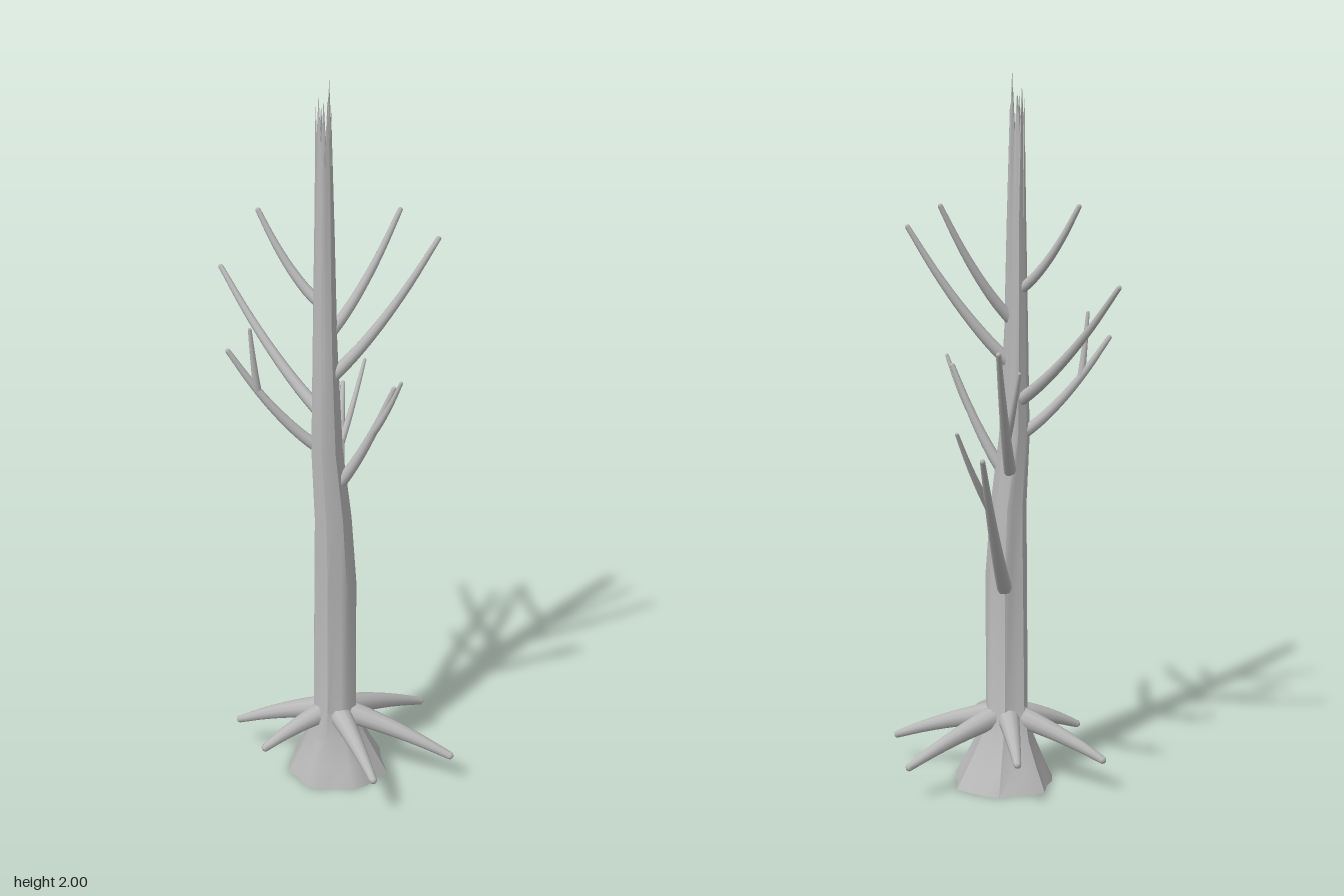
import * as THREE from 'three';
import { mergeVertices, toCreasedNormals } from 'three/addons/utils/BufferGeometryUtils.js';

const bark = new THREE.MeshStandardMaterial({ color: 0xb8b8b8, side: THREE.DoubleSide });
bark.name = 'grey bark';

// Round limb along a path, tapering from r0 to r1 with a rounded tip
function limb(name, path, r0, r1) {
  const n = 14, sides = 10;
  const geo = new THREE.TubeGeometry(path, n, 1, sides, false);
  const pos = geo.attributes.position, v = new THREE.Vector3();
  for (let i = 0; i <= n; i++) {
    const centre = path.getPointAt(i / n);
    const r = r0 + (r1 - r0) * i / n;
    for (let j = 0; j <= sides; j++) {
      const k = i * (sides + 1) + j;
      v.fromBufferAttribute(pos, k).sub(centre).multiplyScalar(r).add(centre);
      pos.setXYZ(k, v.x, v.y, v.z);
    }
  }
  geo.deleteAttribute('uv');
  geo.deleteAttribute('normal');
  const smooth = mergeVertices(geo, 1e-5);
  smooth.computeVertexNormals();
  const mesh = new THREE.Mesh(smooth, bark);
  mesh.name = name;
  const tip = new THREE.Mesh(new THREE.SphereGeometry(r1, 8, 6), bark);
  tip.name = name + 'Tip';
  tip.position.copy(path.getPointAt(1));
  mesh.add(tip);
  return mesh;
}

// Path that sags in the middle, so the limb sweeps upward to its tip
function sweep(base, tip, sag) {
  const at = t => base.clone().lerp(tip, t).setY(base.y + (tip.y - base.y) * t - 4 * sag * t * (1 - t));
  return new THREE.CatmullRomCurve3([0, 0.25, 0.5, 0.75, 1].map(at));
}

// Trunk rings: height, centre x, centre z, radius
const rings = [
  [0, -0.04, 0.04, 0.142],
  [0.06, -0.044, 0.042, 0.112],
  [0.13, -0.05, 0.045, 0.08],
  [0.21, -0.056, 0.048, 0.06],
  [0.6, -0.056, 0.05, 0.057],
  [0.8, -0.063, 0.05, 0.048],
  [1, -0.079, 0.045, 0.04],
  [1.3, -0.082, 0.042, 0.031],
  [1.6, -0.081, 0.04, 0.026],
  [1.86, -0.087, 0.047, 0.02],
];

// Point on the trunk axis at a given height
function axisAt(y) {
  const i = rings.findIndex(r => r[0] > y);
  const [a, b] = [rings[i - 1], rings[i]];
  const t = (y - a[0]) / (b[0] - a[0]);
  return new THREE.Vector3(a[1] + (b[1] - a[1]) * t, y, a[2] + (b[2] - a[2]) * t);
}

// Ridged trunk with a flared foot and a jagged broken rim
function trunk() {
  const sides = 20, verts = [], index = [];
  rings.forEach(([y, cx, cz, r], i) => {
    const last = i === rings.length - 1;
    for (let j = 0; j < sides; j++) {
      const a = j / sides * Math.PI * 2;
      const ridge = Math.cos(7 * a + y * 1.5) * 0.065 + Math.cos(4 * a + 1 + y * 3) * 0.035;
      const rr = r * (1 + ridge);
      const jag = last ? (j % 2 ? 0.05 + (j % 5) * 0.012 : -0.03) : 0;
      verts.push(cx + Math.cos(a) * rr, y + jag, cz + Math.sin(a) * rr);
      if (!last) {
        const k = (j + 1) % sides, lo = i * sides, hi = lo + sides;
        index.push(lo + j, hi + j, lo + k, lo + k, hi + j, hi + k);
      }
    }
  });
  const geo = new THREE.BufferGeometry();
  geo.setAttribute('position', new THREE.Float32BufferAttribute(verts, 3));
  geo.setIndex(index);
  const mesh = new THREE.Mesh(toCreasedNormals(geo, 0.7), bark);
  mesh.name = 'trunk';
  return mesh;
}

export function createModel() {
  const tree = new THREE.Group();
  tree.name = 'deadTree';
  tree.add(trunk());

  // Splinters standing in the broken top, the tallest at the front
  for (let i = 0; i < 5; i++) {
    const a = 1 + i / 5 * Math.PI * 2, top = i ? 1.93 + (i % 3) * 0.015 : 2;
    const splinter = new THREE.Mesh(new THREE.ConeGeometry(0.009, top - 1.78, 5), bark);
    splinter.name = 'splinter';
    splinter.position.set(-0.085 + Math.cos(a) * 0.014, (top + 1.78) / 2, 0.047 + Math.sin(a) * 0.014);
    tree.add(splinter);
  }

  // Roots arch out from just above the flare to these tips
  const roots = [
    [0.27, 0.1, 0.032], [0.16, 0.09, 0.31], [-0.122, 0.12, 0.322],
    [-0.278, 0.13, 0.022], [-0.222, 0.1, -0.196], [0.043, 0.13, -0.172],
  ];
  for (const tip of roots) {
    const path = sweep(axisAt(0.2), new THREE.Vector3(...tip), -0.01);
    tree.add(limb('root', path, 0.036, 0.011));
  }

  // Branches: height on the trunk, tip, base radius, then twigs as [place along branch, tip]
  const branches = [
    [0.54, [0.236, 1.02, -0.315], 0.023, [0.72, [0.29, 1.09, -0.28]]],
    [1.19, [0.173, 1.58, 0.195], 0.019],
    [1.31, [0.132, 1.64, 0.084], 0.017],
    [1.4, [-0.172, 1.64, -0.13], 0.016],
    [1.09, [-0.167, 1.44, -0.328], 0.019],
    [0.99, [-0.288, 1.28, -0.11], 0.018, [0.66, [-0.25, 1.345, -0.06]]],
    [0.88, [0.138, 1.275, -0.23], 0.019, [0.35, [0.038, 1.21, -0.17]]],
    [0.87, [0.04, 1.19, 0.185], 0.019, [0.6, [0.04, 1.215, 0.216]]],
  ];
  for (const [height, tip, radius, ...twigs] of branches) {
    const path = sweep(axisAt(height), new THREE.Vector3(...tip), 0.03);
    tree.add(limb('branch', path, radius, 0.007));
    for (const [place, twigTip] of twigs) {
      const twigPath = sweep(path.getPointAt(place), new THREE.Vector3(...twigTip), 0.01);
      tree.add(limb('twig', twigPath, 0.011, 0.005));
    }
  }
  return tree;
}
